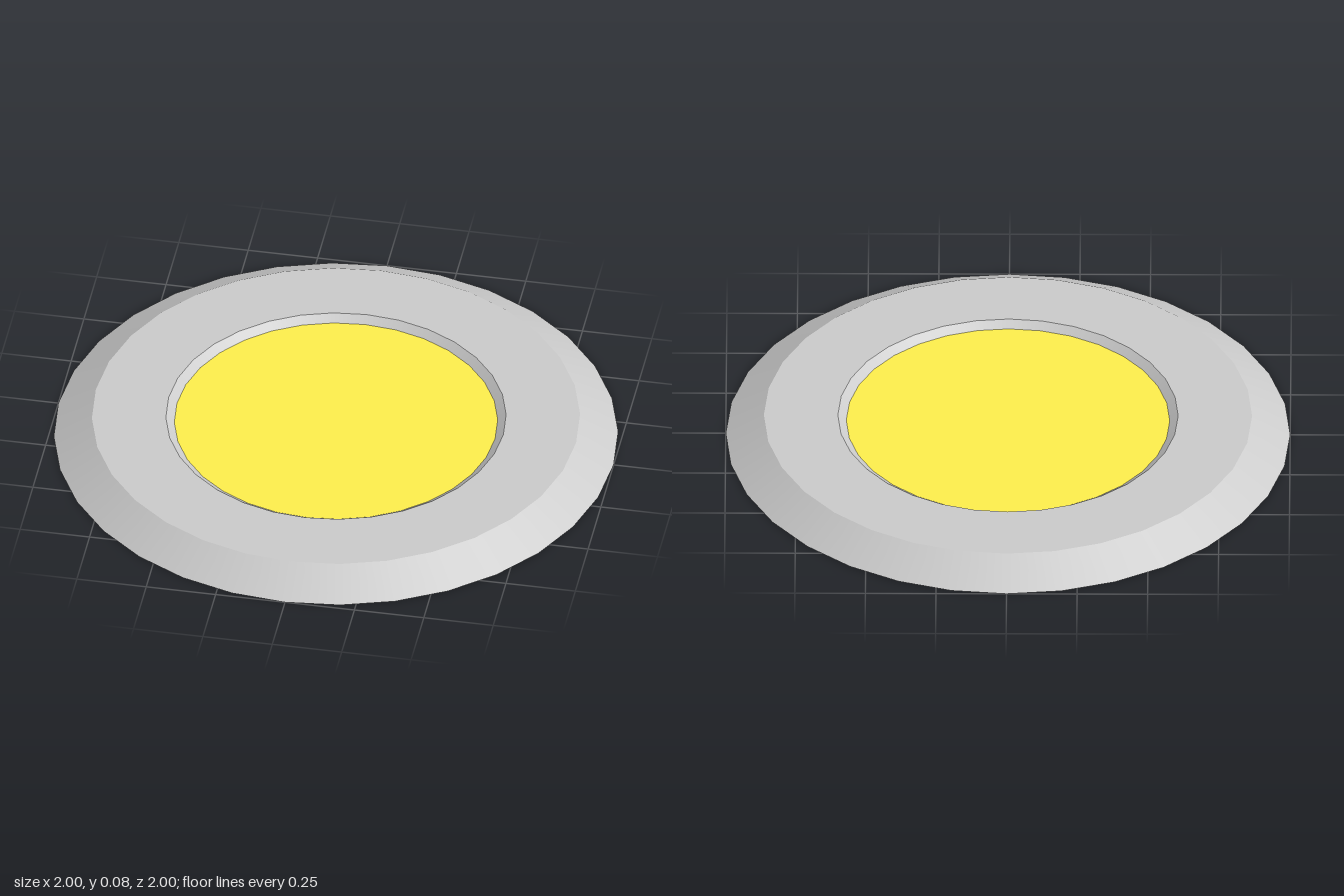
import * as THREE from 'three';

const SEGMENTS = 32;

export function createModel() {
  const model = new THREE.Group();
  model.name = 'roundPlate';

  const grey = new THREE.MeshStandardMaterial({ color: 0xcccccc, side: THREE.DoubleSide });
  const yellow = new THREE.MeshStandardMaterial({ color: 0xfff04c, side: THREE.DoubleSide });

  // Open shell: one lathe per band keeps the edges between bands sharp
  const band = (name, from, to) => {
    const profile = [new THREE.Vector2(...from), new THREE.Vector2(...to)];
    const mesh = new THREE.Mesh(new THREE.LatheGeometry(profile, SEGMENTS), grey);
    mesh.name = name;
    model.add(mesh);
  };
  band('outerBevel', [1, 0], [0.865, 0.08]);
  band('topRing', [0.865, 0.08], [0.603, 0.08]);
  band('innerLip', [0.603, 0.08], [0.573, 0.058]);

  // Recessed centre disc
  const disc = new THREE.Mesh(new THREE.CircleGeometry(0.573, SEGMENTS), yellow);
  disc.name = 'centreDisc';
  disc.rotation.x = -Math.PI / 2;
  disc.position.y = 0.058;
  model.add(disc);

  return model;
}
